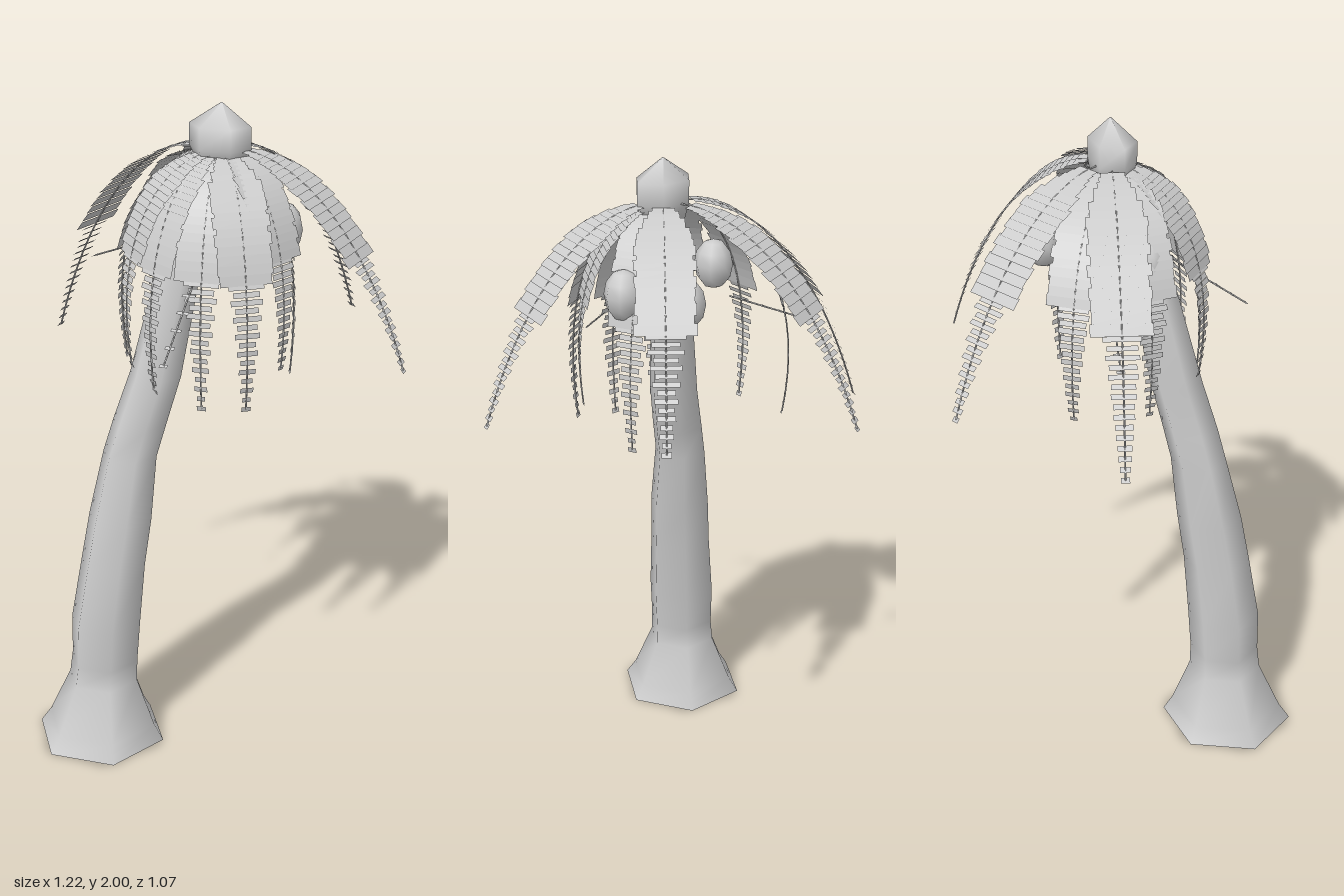
import * as THREE from 'three';
import { mergeGeometries, mergeVertices } from 'three/addons/utils/BufferGeometryUtils.js';

const bark = new THREE.MeshStandardMaterial({ color: 0xcccccc });
const leaf = new THREE.MeshStandardMaterial({ color: 0xcccccc, side: THREE.DoubleSide });
const UP = new THREE.Vector3(0, 1, 0);
const V = (x, y, z) => new THREE.Vector3(x, y, z);
const CROWN = V(0.015, 1.87, 0.04);

function part(name, geometry, material) {
  const mesh = new THREE.Mesh(geometry, material);
  mesh.name = name;
  return mesh;
}

// Smooth six-sided skin through rings of [y, x, z, radius, depth ratio]
function loft(rings) {
  const geo = new THREE.CylinderGeometry(1, 1, 1, 6, rings.length - 1, true, Math.PI / 2 + 0.08);
  const pos = geo.attributes.position;
  for (let i = 0; i < pos.count; i++) {
    const [y, x, z, r, depth = 1] = rings[rings.length - 1 - Math.floor(i / 7)];
    pos.setXYZ(i, x + pos.getX(i) * r, y, z + pos.getZ(i) * r * depth);
  }
  geo.deleteAttribute('uv');
  geo.deleteAttribute('normal');
  const merged = mergeVertices(geo);
  merged.computeVertexNormals();
  return merged;
}

// One leaflet: a flat plate across the stem, tilted less than the stem
function leaflet(centre, tangent, halfWidth, length, tilt) {
  const dir = V(tangent.x, tangent.y * tilt, tangent.z).normalize();
  const side = V().crossVectors(dir, UP).normalize();
  const normal = V().crossVectors(side, dir);
  const m = new THREE.Matrix4().makeBasis(side, dir, normal).setPosition(centre);
  return new THREE.PlaneGeometry(halfWidth * 2, length).applyMatrix4(m);
}

function stem(curve) {
  return new THREE.TubeGeometry(curve, 14, 0.003, 3);
}

// Arching frond: wide overlapping leaflets, then a sparse narrow tip
function frond([x, y, z], steep, width) {
  const end = V(x, y, z), drop = CROWN.y - y;
  const at = (reach, fall) => V(
    CROWN.x + (end.x - CROWN.x) * reach, CROWN.y - drop * fall, CROWN.z + (end.z - CROWN.z) * reach);
  const curve = steep
    ? new THREE.CubicBezierCurve3(at(0.1, 0.02), at(0.65, 0.03), at(1.2, 0.36), end)
    : new THREE.CubicBezierCurve3(at(0.08, 0), at(0.45, 0), at(0.8, 0.39), end);
  const pieces = [stem(curve)];
  const wide = 18, narrow = 15, split = 0.65;
  for (let i = 0; i < wide; i++) {
    const t = 0.08 + (split - 0.08) * i / (wide - 1);
    const grow = Math.min(1, 0.4 + 1.6 * i / wide);
    const uneven = 1 + 0.06 * Math.sin(i * 2.7 + x * 20);
    pieces.push(leaflet(curve.getPoint(t), curve.getTangent(t), width * grow * uneven, 0.036, 0.8));
  }
  for (let i = 1; i <= narrow; i++) {
    const k = i / narrow, t = split + (1 - split) * k;
    const half = width * (0.62 - 0.47 * k) * (1 + 0.15 * Math.sin(i * 3.1 + z * 20));
    pieces.push(leaflet(curve.getPoint(t), curve.getTangent(t), half, 0.016, 0.4));
  }
  return mergeGeometries(pieces);
}

// Straight bare stem with a few small leaflets
function bareStem(a, b) {
  const line = new THREE.LineCurve3(a, b);
  const pieces = [stem(line)];
  for (let i = 1; i <= 5; i++) {
    pieces.push(leaflet(line.getPoint(i / 5), line.getTangent(0), 0.022 - i * 0.002, 0.012, 0.6));
  }
  return mergeGeometries(pieces);
}

export function createModel() {
  const tree = new THREE.Group();
  tree.name = 'palmTree';

  // Leaning trunk with a flared foot
  const foot = [0, -0.277, 0.35, 0.207];
  tree.add(part('trunk', loft([
    foot,
    [0.05, -0.275, 0.347, 0.175],
    [0.2, -0.27, 0.34, 0.112],
    [0.27, -0.265, 0.337, 0.108],
    [0.4, -0.26, 0.332, 0.112],
    [0.6, -0.24, 0.31, 0.103],
    [0.75, -0.222, 0.288, 0.1],
    [0.95, -0.2, 0.255, 0.085],
    [1.05, -0.175, 0.235, 0.084],
    [1.2, -0.135, 0.2, 0.08],
    [1.5, -0.085, 0.14, 0.068],
    [1.7, -0.03, 0.08, 0.06],
    [1.85, 0.01, 0.045, 0.055],
  ]), bark));
  const sole = part('trunkBase', new THREE.CircleGeometry(foot[3], 6, 0.08), bark);
  sole.rotation.x = Math.PI / 2;
  sole.position.set(foot[1], 0.001, foot[2]);
  tree.add(sole);

  // Bud at the top of the crown
  tree.add(part('crownBud', loft([
    [1.815, 0.01, 0.04, 0.002],
    [1.82, 0.01, 0.04, 0.07, 0.8],
    [1.87, 0.012, 0.045, 0.095, 0.72],
    [1.935, 0.012, 0.045, 0.095, 0.72],
    [2.0, 0.015, 0.04, 0.002],
  ]), bark));

  // Long outer fronds
  const outer = [[0.6, 1.28, 0.1], [-0.605, 1.18, -0.125], [-0.28, 1.27, -0.52], [0.295, 1.28, -0.375]];
  outer.forEach((tip) => tree.add(part('outerFrond', frond(tip, false, 0.085), leaf)));

  // Hanging inner fronds
  const inner = [
    [0.18, 1.16, 0.27], [0.04, 1.14, 0.27], [-0.11, 1.17, 0.27], [-0.19, 1.24, 0.25],
    [-0.29, 1.19, 0.06], [-0.28, 1.21, -0.17], [0.2, 1.16, -0.06], [0.24, 1.25, 0.14],
  ];
  inner.forEach((tip) => tree.add(part('innerFrond', frond(tip, true, 0.08), leaf)));

  // Two bare stems poking out
  tree.add(part('frontStem', bareStem(V(0.01, 1.53, 0.24), V(0.01, 1.35, 0.48)), leaf));
  tree.add(part('sideStem', bareStem(V(-0.18, 1.56, -0.03), V(-0.46, 1.44, -0.09)), leaf));

  // Coconuts under the fronds
  for (const [x, y, z] of [[-0.2, 1.63, 0.08], [0.07, 1.62, -0.15], [0.19, 1.63, -0.01]]) {
    const nut = part('coconut', new THREE.SphereGeometry(0.06, 8, 6), bark);
    nut.position.set(x, y, z);
    nut.scale.y = 1.3;
    tree.add(nut);
  }
  return tree;
}
